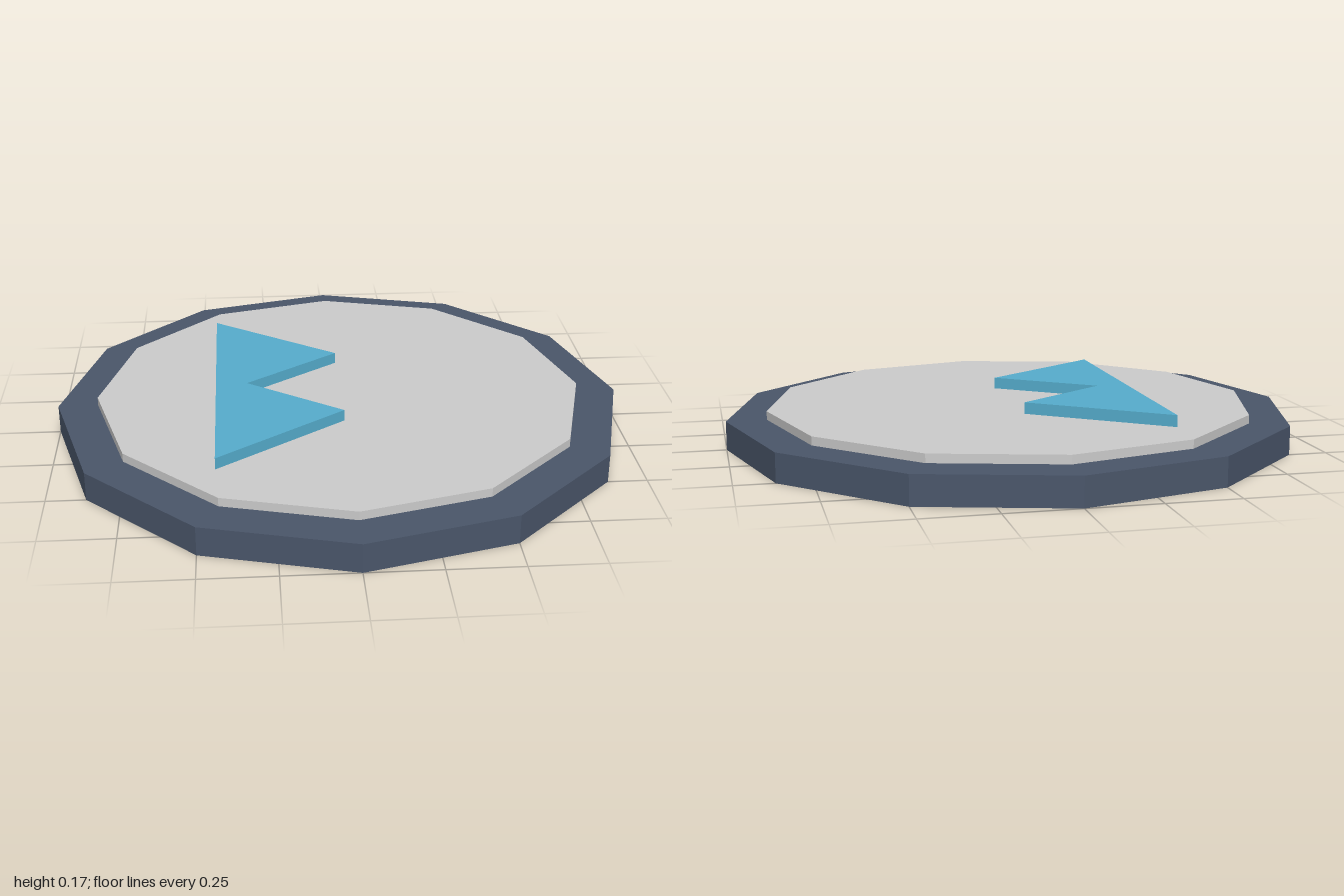
import * as THREE from 'three';

const paint = (color) => new THREE.MeshStandardMaterial({ color, flatShading: true });

// Twelve-sided slab standing on height y
function slab(name, radius, y, height, color) {
  const geometry = new THREE.CylinderGeometry(radius, radius, height, 12);
  geometry.translate(0, y + height / 2, 0);
  const mesh = new THREE.Mesh(geometry, paint(color));
  mesh.name = name;
  return mesh;
}

export function createModel() {
  const model = new THREE.Group();
  model.name = 'badgeDisc';

  // Dark base and pale raised face
  model.add(slab('base', 1, 0, 0.1, 0x4a566a));
  model.add(slab('facePlate', 0.86, 0.1, 0.03, 0xcccccc));

  // Twin-peaked relief lying on the face, peaks toward +x
  const outline = new THREE.Shape(
    [[-0.44, -0.56], [0, -0.24], [-0.33, 0], [0, 0.24], [-0.44, 0.56]]
      .map(([x, y]) => new THREE.Vector2(x, y))
  );
  const geometry = new THREE.ExtrudeGeometry(outline, { depth: 0.04, bevelEnabled: false });
  geometry.rotateX(-Math.PI / 2);
  geometry.translate(0, 0.13, 0);
  const peaks = new THREE.Mesh(geometry, paint(0x56adcd));
  peaks.name = 'twinPeaks';
  model.add(peaks);

  return model;
}
